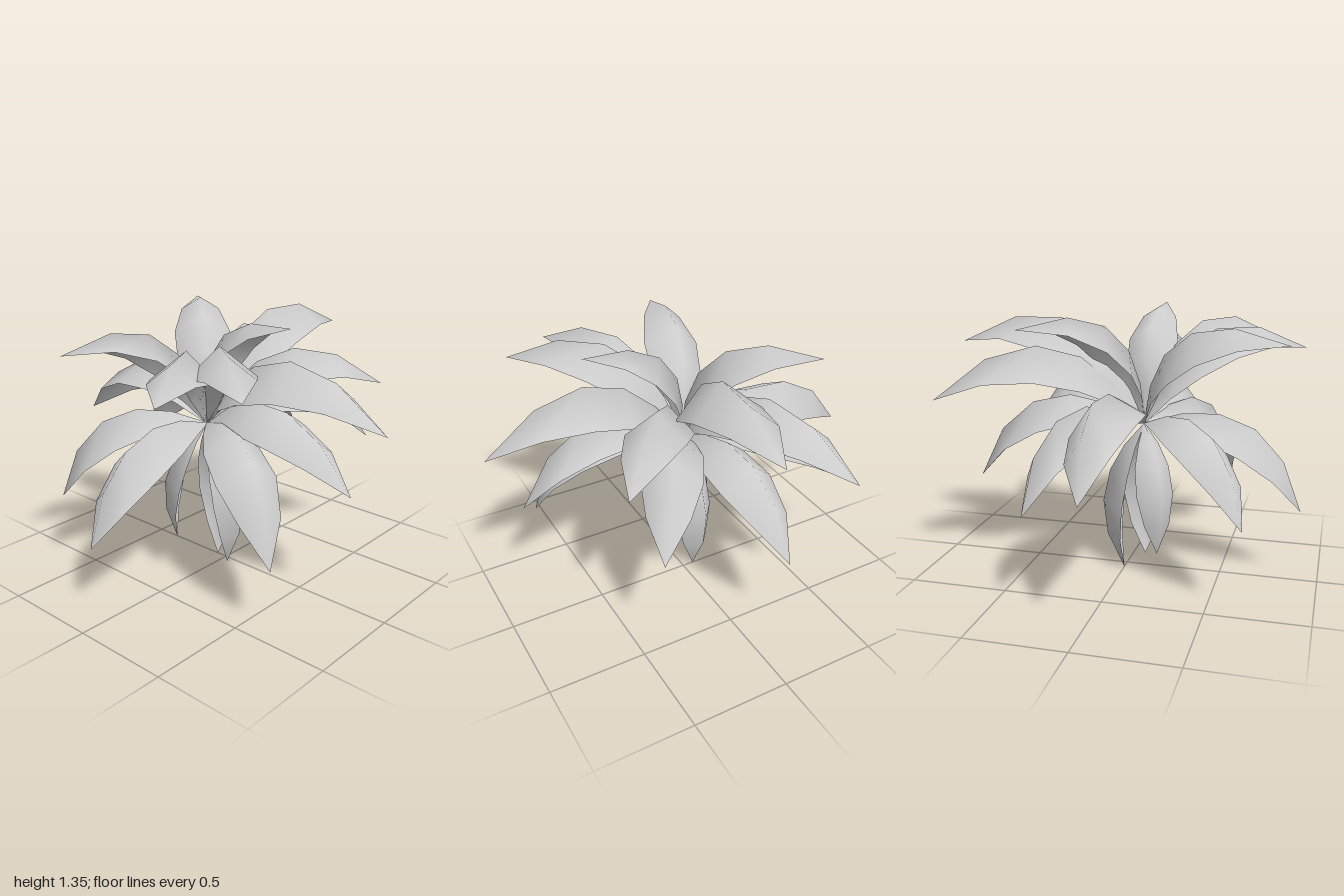
import * as THREE from 'three';

const BASE = new THREE.Vector3(-0.04, 0.79, 0.1);

// Leaf stations: along the chord, rise above it, half width (all per unit of chord length)
const STATIONS = [
  [0, 0, 0.004], [0.16, 0.17, 0.092], [0.34, 0.282, 0.155],
  [0.555, 0.31, 0.167], [0.78, 0.22, 0.115], [1, 0, 0],
];
const FOLD = 0.88; // how far the edges droop below the midrib, per half width

// Tip positions: x, y, z, then optional roll, bend and width factors
const LEAVES = {
  upperLeaf: [
    [0.48, 1.35, 0.10], [-0.55, 1.31, -0.38], [-0.25, 1.24, 0.83, 0.18],
    [0.67, 1.17, 0.66], [0.39, 1.14, 0.87], [0.02, 1.165, -0.90],
  ],
  middleLeaf: [
    [1.0, 0.955, 0.09, 0.04], [0.57, 0.975, -0.55], [-0.41, 0.93, -0.88],
    [-1.0, 0.66, 0.05, 0.24], [0.84, 0.63, 0.10, 0.15], [0.45, 0.635, -0.64],
  ],
  lowerLeaf: [
    [-0.80, 0.51, -0.28, 0.22], [-0.16, 0.485, -0.75], [-0.52, 0.43, 0.67],
    [-0.03, 0.38, 0.90, 0, 0.92], [0.67, 0.34, 0.46],
  ],
  hangingLeaf: [
    [-0.06, 0.0, 0.0, 0, 0.63, 0.88], [-0.17, 0.14, 0.2, 0, 0.65, 0.9], [0.08, 0.03, 0.08, 0, 0.6, 0.88],
  ],
};

// Arched leaf with a V-shaped cross-section from the common base to its tip
function leafGeometry([x, y, z, roll = 0, bend = 1, width = 1]) {
  const chord = new THREE.Vector3(x, y, z).sub(BASE);
  const length = chord.length();
  const along = chord.clone().normalize();
  const side = new THREE.Vector3(chord.x, 0, chord.z).normalize()
    .cross(new THREE.Vector3(0, 1, 0)).applyAxisAngle(along, roll);
  const rise = side.clone().cross(along);

  const positions = [];
  const indices = [];
  const last = STATIONS.length - 1;
  STATIONS.forEach(([a, r, w], i) => {
    const half = w * length * width;
    for (const s of [-1, 0, 1]) {
      const v = BASE.clone().addScaledVector(along, a * length)
        .addScaledVector(side, s * half)
        .addScaledVector(rise, r * length * bend - Math.abs(s) * half * FOLD);
      positions.push(v.x, v.y, v.z);
    }
    if (i === last) return;
    for (let j = 0; j < 2; j++) {
      const p = i * 3 + j;
      if (i < last - 1) indices.push(p, p + 1, p + 3, p + 1, p + 4, p + 3);
      else indices.push(p, p + 1, last * 3 + 1); // both halves meet at the tip
    }
  });

  const geometry = new THREE.BufferGeometry();
  geometry.setAttribute('position', new THREE.Float32BufferAttribute(positions, 3));
  geometry.setIndex(indices);
  geometry.computeVertexNormals();
  return geometry;
}

export function createModel() {
  const model = new THREE.Group();
  model.name = 'leafyPlant';
  const leafGrey = new THREE.MeshStandardMaterial({ color: 0xcccccc, side: THREE.DoubleSide });
  leafGrey.name = 'leafGrey';

  // Tiers of leaves, from the upright crown to the hanging ones
  for (const [name, tips] of Object.entries(LEAVES)) {
    const tier = new THREE.Group();
    tier.name = name + 'Tier';
    tips.forEach((tip, i) => {
      const leaf = new THREE.Mesh(leafGeometry(tip), leafGrey);
      leaf.name = name + (i + 1);
      tier.add(leaf);
    });
    model.add(tier);
  }
  return model;
}
